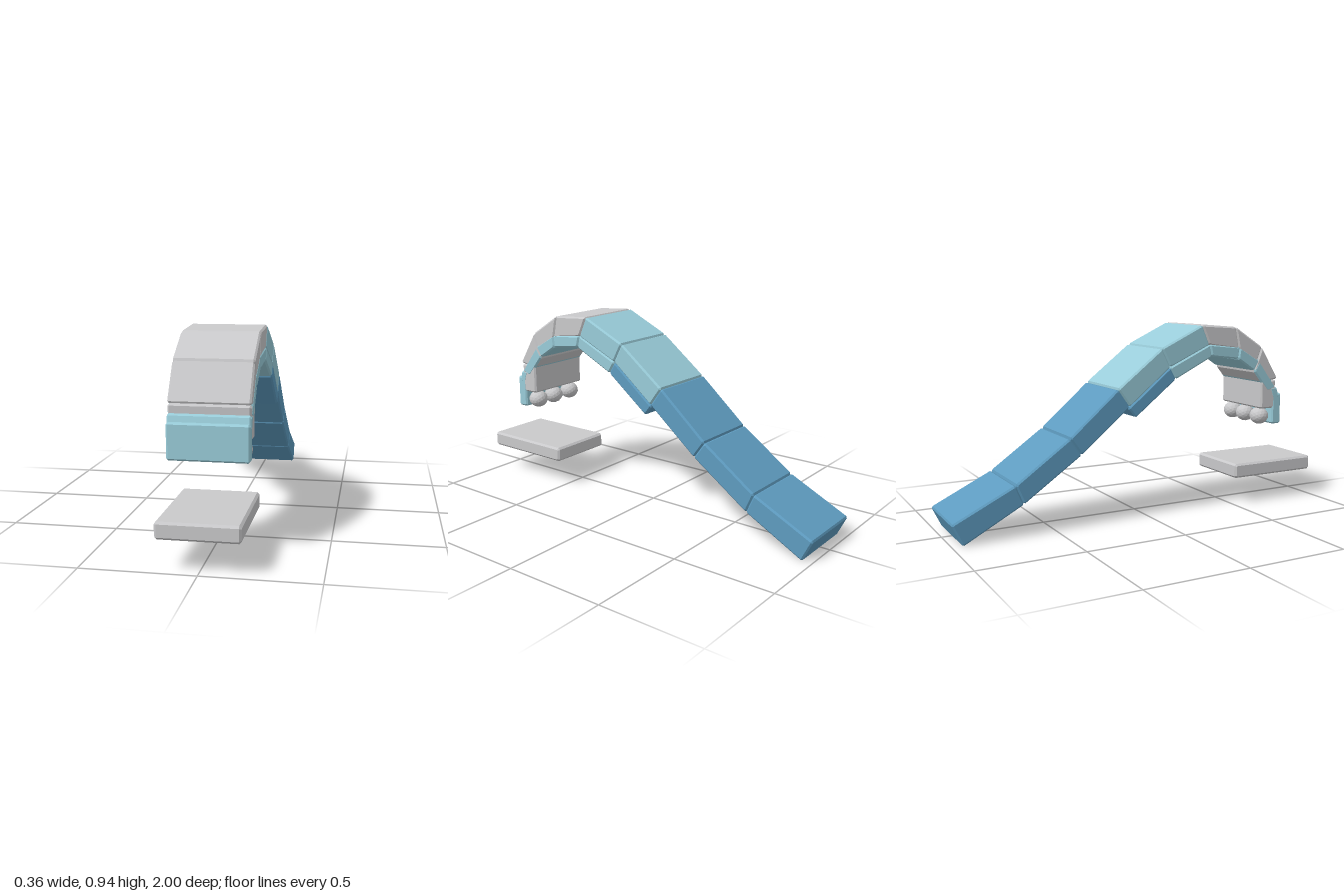
import * as THREE from 'three';

const WIDTH = 0.355;

// Bevelled block: side profile given as [z, y] corners, extruded across x
function block(name, material, corners, extra = 0, bevel = 0.008) {
  const pts = corners.map(([z, y]) => new THREE.Vector2(z, y));
  const outline = [];
  pts.forEach((p, i) => {
    const prev = pts[(i + pts.length - 1) % pts.length];
    const next = pts[(i + 1) % pts.length];
    for (const q of [prev, next]) {
      outline.push(p.clone().add(q.clone().sub(p).setLength(bevel)));
    }
  });
  const width = WIDTH + extra;
  const geometry = new THREE.ExtrudeGeometry(new THREE.Shape(outline), {
    depth: width - 2 * bevel, bevelEnabled: true, bevelSegments: 1,
    bevelSize: bevel, bevelThickness: bevel, bevelOffset: -bevel,
  });
  geometry.translate(0, 0, -(width - 2 * bevel) / 2);
  geometry.rotateY(-Math.PI / 2);
  const mesh = new THREE.Mesh(geometry, material);
  mesh.name = name;
  return mesh;
}

// Row of blocks sharing joints; each joint is [outer z, outer y, inner z, inner y]
function chain(name, joints, materials, extra) {
  const group = new THREE.Group();
  group.name = name;
  for (let i = 0; i < joints.length - 1; i++) {
    const [a, b, c, d] = joints[i];
    const [e, f, g, h] = joints[i + 1];
    group.add(block(`${name}Segment${i + 1}`, materials[i], [[a, b], [c, d], [g, h], [e, f]], extra));
  }
  return group;
}

function paint(name, color) {
  const material = new THREE.MeshStandardMaterial({ color });
  material.name = name;
  return material;
}

export function createModel() {
  const grey = paint('light grey', 0xc9c9cb);
  const pale = paint('pale blue', 0x99ccd9);
  const blue = paint('blue', 0x5e9bbf);
  const model = new THREE.Group();
  model.name = 'archedBand';

  // Outer band: blue tail, pale middle, grey arch curling down to the front
  model.add(chain('outerBand', [
    [-1.0, 0.105, -0.95, 0.0],
    [-0.7, 0.25, -0.66, 0.155],
    [-0.43, 0.44, -0.37, 0.355],
    [-0.18, 0.655, -0.115, 0.565],
    [0.06, 0.84, 0.11, 0.745],
    [0.29, 0.947, 0.335, 0.845],
    [0.493, 0.932, 0.515, 0.82],
    [0.66, 0.825, 0.61, 0.70],
    [0.765, 0.655, 0.66, 0.64],
  ], [blue, blue, blue, pale, pale, grey, grey, grey], 0));
  model.add(block('frontInnerBlock', grey,
    [[0.755, 0.65], [0.66, 0.65], [0.66, 0.5], [0.745, 0.5]]));

  // Inner band: blue tail, pale lining that crosses to the outside at the front
  model.add(chain('innerBand', [
    [-0.125, 0.56, -0.085, 0.51],
    [0.105, 0.745, 0.14, 0.685],
    [0.335, 0.85, 0.35, 0.787],
    [0.52, 0.83, 0.51, 0.768],
    [0.645, 0.755, 0.61, 0.702],
    [0.755, 0.61, 0.70, 0.59],
  ], [blue, pale, pale, pale, pale], 0.003));
  model.add(block('crossingBlock', pale,
    [[0.762, 0.61], [0.715, 0.61], [0.735, 0.55], [0.78, 0.55]], 0.003));
  model.add(block('frontOuterBlock', pale,
    [[0.79, 0.577], [0.733, 0.577], [0.733, 0.415], [0.79, 0.415]], 0.001));

  // Faceted balls under the front end
  const balls = new THREE.Group();
  balls.name = 'balls';
  [-0.115, 0.01, 0.125].forEach((x, i) => {
    const ball = new THREE.Mesh(new THREE.IcosahedronGeometry(0.05, 2), grey);
    ball.geometry.computeVertexNormals();
    ball.name = `ball${i + 1}`;
    ball.scale.y = 0.9;
    ball.position.set(x, 0.455, 0.695);
    balls.add(ball);
  });
  model.add(balls);

  // Separate slab below the front
  model.add(block('floorSlab', grey,
    [[1.0, 0.218], [0.505, 0.218], [0.505, 0.143], [1.0, 0.143]], 0, 0.01));

  return model;
}
